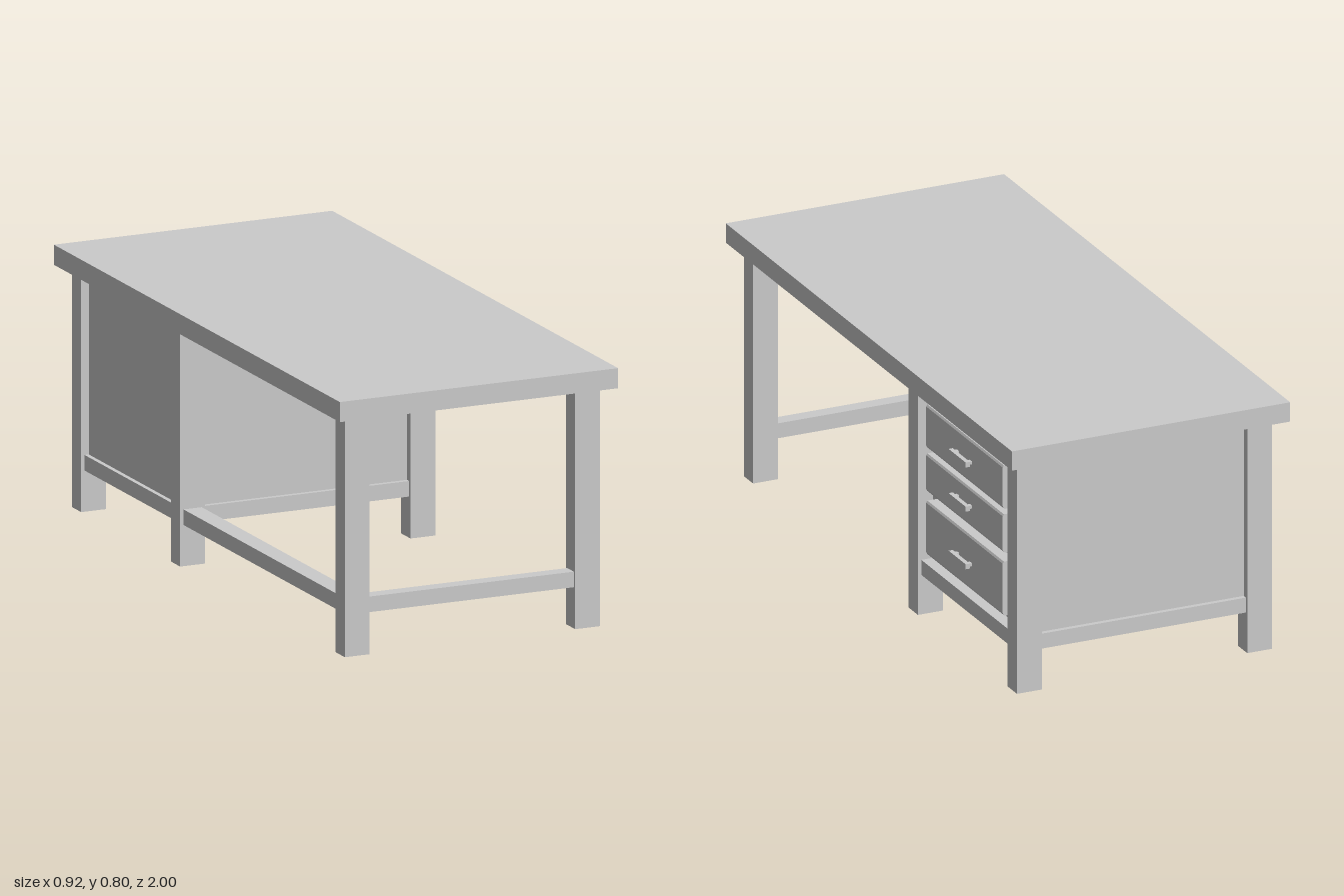
import * as THREE from 'three';

export function createModel() {
  const desk = new THREE.Group();
  desk.name = 'desk';
  const material = new THREE.MeshStandardMaterial({ color: 0xcccccc });

  // Box given by its lower and upper corners
  function box(name, [x0, y0, z0], [x1, y1, z1], parent = desk) {
    const mesh = new THREE.Mesh(new THREE.BoxGeometry(x1 - x0, y1 - y0, z1 - z0), material);
    mesh.position.set((x0 + x1) / 2, (y0 + y1) / 2, (z0 + z1) / 2);
    mesh.name = name;
    parent.add(mesh);
    return mesh;
  }

  const under = 0.74;
  box('tableTop', [-0.458, under, -1], [0.458, 0.802, 1]);

  // Three pairs of legs, with a cross rail between each pair
  const legX = 0.379, halfX = 0.041, halfZ = 0.0325;
  const railLow = 0.127, railHigh = 0.175;
  const rows = [['front', 0.922], ['middle', -0.23], ['back', -0.922]];
  for (const [row, z] of rows) {
    for (const side of [-1, 1]) {
      box(row + (side > 0 ? 'LeftLeg' : 'RightLeg'),
        [side * legX - halfX, 0, z - halfZ], [side * legX + halfX, under, z + halfZ]);
    }
    box(row + 'CrossRail', [-0.34, railLow, z - 0.023], [0.34, railHigh, z + 0.023]);
  }

  // Lengthwise rails: one under the open side, two under the cabinet
  box('longRail', [-legX - 0.03, railLow, -0.2], [-legX + 0.03, railHigh, 0.89]);
  for (const x of [-legX, legX]) {
    box('cabinetRail', [x - 0.03, railLow, -0.89], [x + 0.03, railHigh, -0.26]);
  }

  // Cabinet body, set back slightly from the leg faces
  box('cabinet', [-0.395, 0.14, -0.93], [0.37, under, -0.222]);

  // Drawer fronts with chamfered upper and lower edges, and bar handles
  const drawerBack = 0.365, drawerFace = 0.413;
  const z0 = -0.84, z1 = -0.305, mid = (z0 + z1) / 2;
  const drawers = [[0.55, 0.69, 0.62], [0.41, 0.533, 0.478], [0.207, 0.381, 0.293]];
  for (const [low, high, handleY] of drawers) {
    const drawer = new THREE.Group();
    drawer.name = 'drawer';
    const profile = new THREE.Shape([
      [drawerBack, low], [drawerFace - 0.007, low], [drawerFace - 0.003, low + 0.003],
      [drawerFace, low + 0.01], [drawerFace, high - 0.006],
      [drawerFace - 0.004, high], [drawerBack, high],
    ].map(([x, y]) => new THREE.Vector2(x, y)));
    const front = new THREE.Mesh(
      new THREE.ExtrudeGeometry(profile, { depth: z1 - z0, bevelEnabled: false }), material);
    front.position.z = z0;
    front.name = 'drawerFront';
    drawer.add(front);

    box('handleBar', [0.423, handleY - 0.008, mid - 0.06], [0.437, handleY + 0.008, mid + 0.06], drawer);
    for (const s of [-1, 1]) {
      const z = mid + s * 0.045;
      box('handlePost', [0.41, handleY - 0.005, z - 0.007], [0.425, handleY + 0.005, z + 0.007], drawer);
    }
    desk.add(drawer);
  }
  return desk;
}
